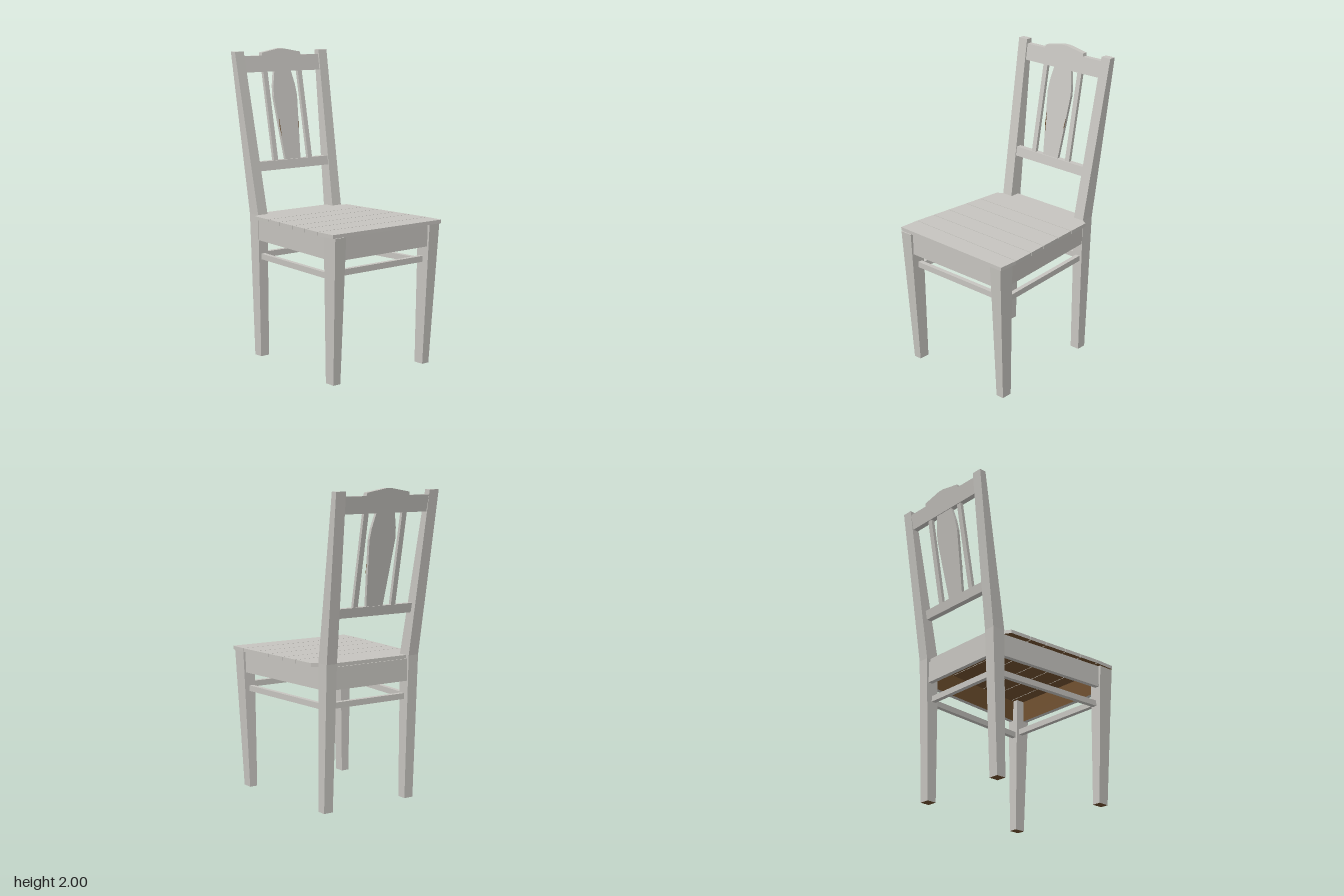
import * as THREE from 'three';

const paint = new THREE.MeshStandardMaterial({ color: 0xc6c4bf });
paint.name = 'greyPaint';
const wood = new THREE.MeshStandardMaterial({ color: 0x70502f });
wood.name = 'bareWood';

// Horizontal rectangle, counter-clockwise from above, starting front left
const rect = (x0, x1, y, z0, z1) => [[x0, y, z1], [x1, y, z1], [x1, y, z0], [x0, y, z0]];
const mirror = (ring) => ring.map(([x, y, z]) => [-x, y, z]).reverse();
const atHeight = (outline, y) => outline.map(([x, z]) => [x, y, z]);

// Flat-sided solid through stacked rings; chosen sides and the base may be bare wood
function loft(name, rings, { woodBase = false, woodSides = [] } = {}) {
  const pos = [];
  const geo = new THREE.BufferGeometry();
  const face = (pts, bare) => {
    const start = pos.length / 3;
    for (let i = 1; i < pts.length - 1; i++) pos.push(...pts[0], ...pts[i], ...pts[i + 1]);
    geo.addGroup(start, pos.length / 3 - start, bare ? 1 : 0);
  };
  const n = rings[0].length;
  face([...rings[0]].reverse(), woodBase);
  for (let r = 0; r < rings.length - 1; r++) {
    for (let i = 0; i < n; i++) {
      const j = (i + 1) % n;
      face([rings[r][i], rings[r][j], rings[r + 1][j], rings[r + 1][i]], woodSides.includes(i));
    }
  }
  face(rings[rings.length - 1], false);
  geo.setAttribute('position', new THREE.Float32BufferAttribute(pos, 3));
  geo.computeVertexNormals();
  const mesh = new THREE.Mesh(geo, [paint, wood]);
  mesh.name = name;
  return mesh;
}

// Upright outline extruded backwards from the leaning plane of the backrest
function leaning(name, outline, inset, depth, material = paint) {
  const shape = new THREE.Shape(outline.map(([x, y]) => new THREE.Vector2(x, y)));
  const geo = new THREE.ExtrudeGeometry(shape, { depth, bevelEnabled: false });
  const p = geo.attributes.position;
  for (let i = 0; i < p.count; i++) {
    p.setZ(i, p.getZ(i) - depth - inset - 0.39 - 0.19 * (p.getY(i) - 1.275));
  }
  geo.computeVertexNormals();
  const mesh = new THREE.Mesh(geo, material);
  mesh.name = name;
  return mesh;
}

export function createModel() {
  const chair = new THREE.Group();
  chair.name = 'chair';

  // Legs, side aprons and side stretchers, mirrored
  for (const side of ['left', 'right']) {
    const flip = (rings) => (side === 'left' ? rings : rings.map(mirror));
    chair.add(
      loft(`${side}FrontLeg`, flip([
        rect(0.345, 0.4, 0, 0.425, 0.497),
        rect(0.345, 0.43, 0.917, 0.443, 0.55),
      ]), { woodBase: true }),
      loft(`${side}RearPost`, flip([
        rect(0.28, 0.345, 0, -0.375, -0.31),
        rect(0.275, 0.35, 0.94, -0.413, -0.322),
        rect(0.312, 0.382, 1.985, -0.56, -0.515),
      ]), { woodBase: true }),
      loft(`${side}Apron`, flip([0.775, 0.917].map((y) =>
        [[0.385, y, 0.46], [0.415, y, 0.46], [0.345, y, -0.335], [0.315, y, -0.335]],
      )), { woodSides: [3] }),
      loft(`${side}Stretcher`, flip([0.648, 0.685].map((y) =>
        [[0.36, y, 0.46], [0.39, y, 0.46], [0.33, y, -0.33], [0.3, y, -0.33]],
      ))),
    );
  }

  // Front and rear aprons and stretchers
  const across = (name, w, y0, y1, z0, z1, opts) =>
    loft(name, [rect(-w, w, y0, z0, z1), rect(-w, w, y1, z0, z1)], opts);
  chair.add(
    across('frontApron', 0.36, 0.775, 0.917, 0.5, 0.53, { woodSides: [2] }),
    across('rearApron', 0.29, 0.775, 0.917, -0.395, -0.365, { woodSides: [0] }),
    across('frontStretcher', 0.36, 0.67, 0.708, 0.46, 0.49),
    across('rearStretcher', 0.29, 0.652, 0.69, -0.365, -0.335),
  );

  // Seat planks between slightly skewed joints: [half width, z at -x, z at +x]
  const seat = new THREE.Group();
  seat.name = 'seat';
  const joints = [
    [0.4, -0.146, -0.145],
    [0.409, -0.023, -0.01],
    [0.421, 0.132, 0.146],
    [0.431, 0.262, 0.273],
    [0.442, 0.4, 0.424],
    [0.441, 0.543, 0.557],
  ];
  const gap = 0.002;
  const outlines = [
    [[-0.4, -0.146 - gap], [0.4, -0.145 - gap], [0.39, -0.3], [0.35, -0.324], [-0.35, -0.324], [-0.39, -0.3]],
    [[-0.273, -0.324], [0.273, -0.324], [0.273, -0.388], [-0.273, -0.388]],
  ];
  for (let i = 0; i < joints.length - 1; i++) {
    const [wb, bl, br] = joints[i];
    const [wf, fl, fr] = joints[i + 1];
    outlines.push([[-wf, fl - gap], [wf, fr - gap], [wb, br + gap], [-wb, bl + gap]]);
  }
  outlines.forEach((o, i) => seat.add(
    loft(`seatPlank${i + 1}`, [atHeight(o, 0.917), atHeight(o, 0.94)], { woodBase: true }),
  ));
  chair.add(seat);

  // Backrest: crest rail, lower rail, shaped splat and two slats
  const back = new THREE.Group();
  back.name = 'backrest';
  const box = (x0, x1, y0, y1) => [[x0, y0], [x1, y0], [x1, y1], [x0, y1]];
  back.add(
    leaning('crestRail', [
      [-0.32, 1.85], [0.32, 1.85], [0.32, 1.955], [0.16, 1.955], [0.157, 1.975], [0.02, 1.999],
      [-0.02, 1.999], [-0.157, 1.975], [-0.16, 1.955], [-0.32, 1.955],
    ], 0, 0.035),
    leaning('lowerRail', box(-0.29, 0.29, 1.215, 1.275), 0, 0.037),
    leaning('splat', [
      [-0.062, 1.27], [0.062, 1.27], [0.08, 1.48], [0.097, 1.69], [0.09, 1.76], [0.068, 1.855],
      [-0.068, 1.855], [-0.09, 1.76], [-0.097, 1.69], [-0.08, 1.48],
    ], 0.01, 0.02),
    // Small worn spots on the splat edges
    leaning('leftWornSpot', [[0.075, 1.47], [0.081, 1.485], [0.085, 1.54]], 0.008, 0.003, wood),
    leaning('rightWornSpot', [[-0.072, 1.43], [-0.078, 1.55], [-0.08, 1.48]], 0.008, 0.003, wood),
  );
  for (const s of [-1, 1]) {
    back.add(leaning(s > 0 ? 'leftSlat' : 'rightSlat',
      box(s * 0.143 - 0.017, s * 0.143 + 0.017, 1.27, 1.855), 0.008, 0.022));
  }
  chair.add(back);

  return chair;
}
